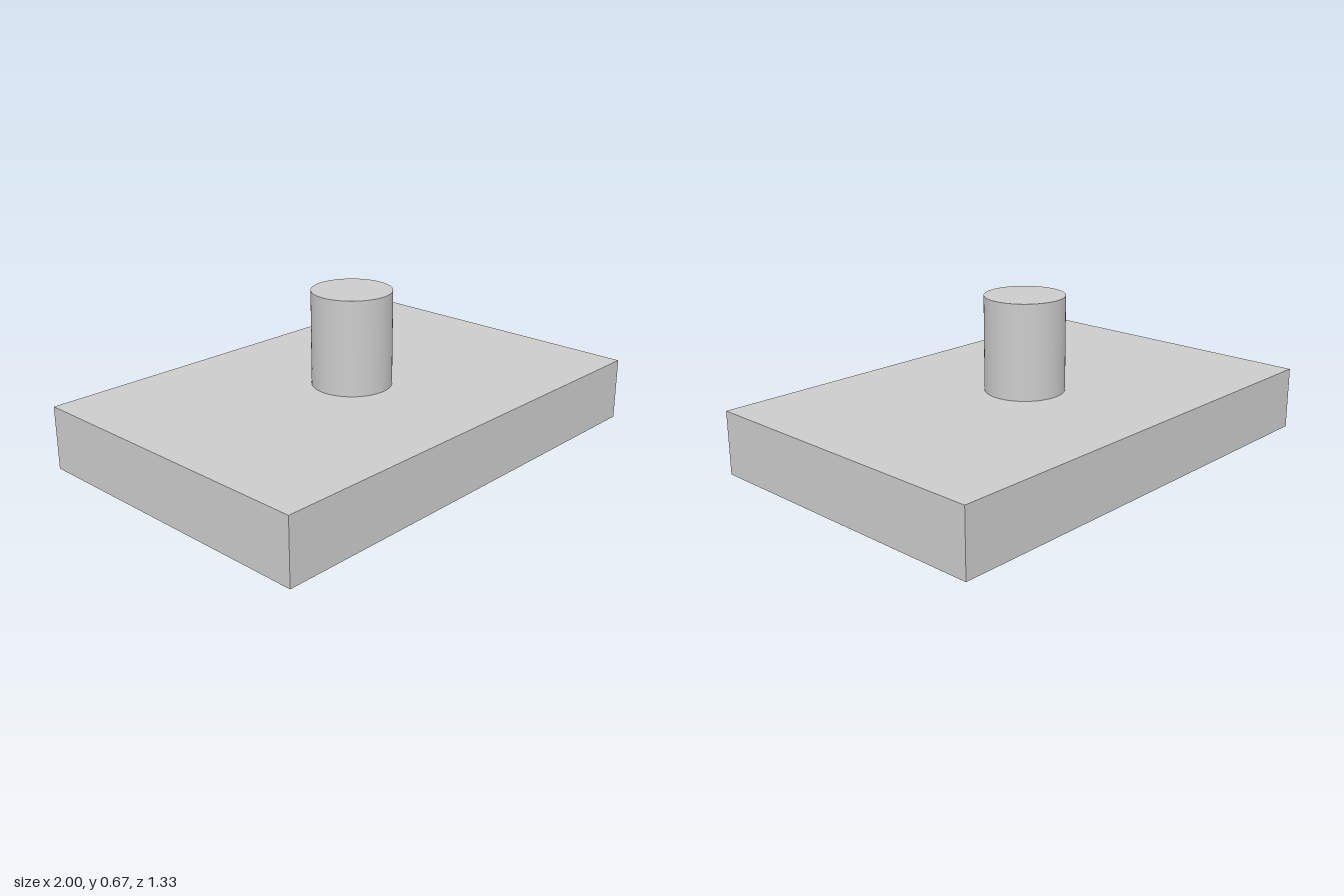
import * as THREE from 'three';

export function createModel() {
  const model = new THREE.Group();
  const material = new THREE.MeshStandardMaterial({ color: 0xcccccc });
  const baseHeight = 0.267;
  const postHeight = 0.4;

  const addPart = (name, geometry, y) => {
    const mesh = new THREE.Mesh(geometry, material);
    mesh.name = name;
    mesh.position.y = y;
    model.add(mesh);
  };

  // Rectangular slab standing on the ground
  addPart('basePlate', new THREE.BoxGeometry(2, baseHeight, 1.333), baseHeight / 2);

  // Round post at the centre of the slab
  addPart('post', new THREE.CylinderGeometry(0.167, 0.167, postHeight, 64), baseHeight + postHeight / 2);

  return model;
}
